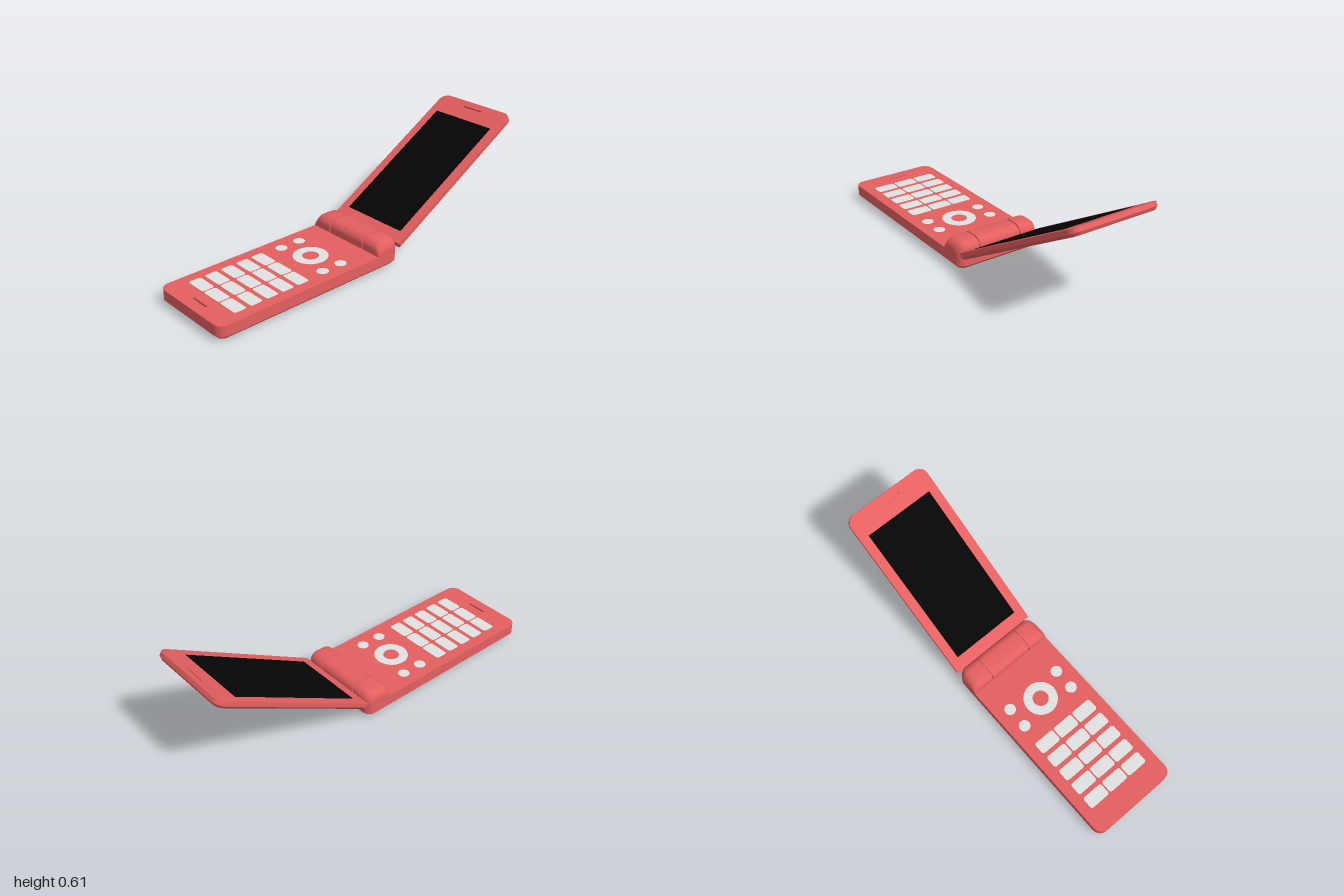
import * as THREE from 'three';
import { toCreasedNormals } from 'three/addons/utils/BufferGeometryUtils.js';

const HALF = 0.25;
const mat = (name, color) => Object.assign(new THREE.MeshStandardMaterial({ color }), { name });

// Closed skin through rings of equal point count, with flat end caps
function loft(rings) {
  const pos = [], n = rings[0].length;
  const tri = (...pts) => pts.forEach((p) => pos.push(p.x, p.y, p.z));
  const centre = (r) => r.reduce((c, p) => c.add(p), new THREE.Vector3()).divideScalar(n);
  const first = rings[0], last = rings[rings.length - 1];
  const c0 = centre(first), c1 = centre(last);
  for (let i = 0; i < n; i++) {
    const j = (i + 1) % n;
    for (let k = 0; k < rings.length - 1; k++) {
      const a = rings[k], b = rings[k + 1];
      tri(a[i], a[j], b[j]);
      tri(a[i], b[j], b[i]);
    }
    tri(c0, first[j], first[i]);
    tri(c1, last[i], last[j]);
  }
  const geo = new THREE.BufferGeometry();
  geo.setAttribute('position', new THREE.Float32BufferAttribute(pos, 3));
  return toCreasedNormals(geo, 0.5);
}

// Rounded rectangle, counter-clockwise, with its own radius at each end
function outline(x0, x1, s0, s1, r0, r1 = r0) {
  const pts = [];
  const corners = [[x1 - r0, s0 + r0, r0], [x1 - r1, s1 - r1, r1], [x0 + r1, s1 - r1, r1], [x0 + r0, s0 + r0, r0]];
  corners.forEach(([x, y, r], c) => {
    for (let i = 0; i <= 8; i++) {
      const a = (c - 1 + i / 8) * Math.PI / 2;
      pts.push(new THREE.Vector2(x + r * Math.cos(a), y + r * Math.sin(a)));
    }
  });
  return pts;
}

// Extrude a plan shape, then lay it down so that its top is at y
function plate(shape, depth, top) {
  const geo = new THREE.ExtrudeGeometry(shape, { depth, bevelEnabled: false, curveSegments: 32 });
  geo.rotateX(-Math.PI / 2).translate(0, top - depth, 0);
  return toCreasedNormals(geo, 0.5);
}

function add(parent, name, geo, material) {
  const mesh = new THREE.Mesh(geo, material);
  mesh.name = name;
  parent.add(mesh);
  return mesh;
}

// Shell with a chamfered underside and a slot sunk in its top at y = 0
function shell(parent, name, material, { s0, s1, r0, r1, t, chamfer, endInset, slot }) {
  const skin = 0.012;
  const ring = (y, inset) => outline(-HALF + inset, HALF - inset, s0 + Math.min(inset, endInset), s1 - inset,
    Math.max(r0 - inset, 0.002), Math.max(r1 - inset, 0.002)).map((p) => new THREE.Vector3(p.x, y, -p.y));
  add(parent, name + 'Underside', loft([ring(-t, chamfer), ring(-t + chamfer, 0), ring(-skin, 0)]), material);
  const face = new THREE.Shape(outline(-HALF, HALF, s0, s1, r0, r1));
  face.holes.push(new THREE.Path(outline(-slot.w, slot.w, slot.s - 0.006, slot.s + 0.006, 0.0055).reverse()));
  add(parent, name + 'Face', plate(face, skin, 0), material);
}

// Hinge cross-section at x; drop lowers the top and pulls in the back
function hingeRing(x, drop) {
  const top = 0.16 - drop, front = 0.015, back = -0.13 + drop;
  const r = Math.min(0.045, top - 0.088), pts = [[back, 0.08], [back, top - r]];
  for (let i = 1; i <= 8; i++) {
    const a = i / 8 * Math.PI / 2;
    pts.push([back + r - r * Math.cos(a), top - r + r * Math.sin(a)]);
  }
  for (let i = 0; i <= 8; i++) {
    const a = i / 8 * Math.PI / 2;
    pts.push([front - r + r * Math.sin(a), top - r + r * Math.cos(a)]);
  }
  pts.push([front, 0.08]);
  return pts.map(([z, y]) => new THREE.Vector3(x, y, z));
}

export function createModel() {
  const model = new THREE.Group();
  model.name = 'flipPhone';
  const red = mat('red shell', 0xe55f5f);
  const grey = mat('light grey', 0xe0e3e1);
  const black = mat('black glass', 0x050505);

  // Keypad half
  const base = new THREE.Group();
  base.name = 'base';
  base.position.y = 0.089;
  model.add(base);
  shell(base, 'base', red, {
    s0: -1, s1: 0.13, r0: 0.05, r1: 0.05, t: 0.077, chamfer: 0.018, endInset: 1, slot: { w: 0.058, s: -0.937 },
  });

  // Number keys
  for (let row = 0; row < 5; row++) {
    for (let col = -1; col <= 1; col++) {
      const x = col * 0.13, s = -0.461 - row * 0.0942;
      const key = new THREE.Shape(outline(x - 0.061, x + 0.061, s - 0.035, s + 0.035, 0.013));
      add(base, 'numberKey', plate(key, 0.003, 0.001), grey);
    }
  }

  // Round soft keys and navigation ring
  for (const x of [-0.164, 0.164]) {
    for (const s of [-0.199, -0.317]) {
      add(base, 'softKey', plate(new THREE.Shape().absarc(x, s, 0.031, 0, Math.PI * 2), 0.003, 0.001), grey);
    }
  }
  const ring = new THREE.Shape().absarc(0, -0.258, 0.092, 0, Math.PI * 2);
  ring.holes.push(new THREE.Path().absarc(0, -0.258, 0.043, 0, Math.PI * 2, true));
  add(base, 'navigationRing', plate(ring, 0.003, 0.001), grey);

  // Hinge: two rounded ends, a middle barrel and a slimmer core in the gaps
  const hinge = new THREE.Group();
  hinge.name = 'hinge';
  model.add(hinge);
  const steps = Array.from({ length: 9 }, (_, i) => i / 8 * Math.PI / 2);
  const curve = steps.map((a) => [HALF - 0.05 + 0.05 * Math.sin(a), 0.05 * (1 - Math.cos(a))]);
  const profile = [[0.13, 0], ...curve];
  add(hinge, 'leftHingeEnd', loft(profile.map(([x, d]) => hingeRing(x, d))), red);
  add(hinge, 'rightHingeEnd', loft(profile.map(([x, d]) => hingeRing(-x, d)).reverse()), red);
  add(hinge, 'hingeBarrel', loft([hingeRing(-0.123, 0), hingeRing(0.123, 0)]), red);
  const core = add(hinge, 'hingeCore', new THREE.CylinderGeometry(0.033, 0.033, 0.28, 32).rotateZ(Math.PI / 2), red);
  core.scale.z = 2;
  core.position.set(0, 0.122, -0.0575);
  const back = add(hinge, 'hingeBackPlate', new THREE.BoxGeometry(0.26, 0.045, 0.004), red);
  back.position.set(0, 0.073, -0.13);

  // Camera under the hinge
  const rim = add(model, 'cameraRim', new THREE.CylinderGeometry(0.036, 0.03, 0.013, 32), red);
  rim.position.set(0.143, 0.0075, -0.002);
  const lens = add(model, 'cameraLens', new THREE.CylinderGeometry(0.022, 0.022, 0.004, 32), black);
  lens.position.set(0.143, 0.002, -0.002);

  // Screen half, opened back
  const lid = new THREE.Group();
  lid.name = 'lid';
  lid.position.set(0, 0.116, -0.13);
  lid.rotation.x = Math.PI / 6;
  model.add(lid);
  shell(lid, 'lid', red, {
    s0: 0, s1: 0.992, r0: 0.003, r1: 0.05, t: 0.038, chamfer: 0.015, endInset: 0, slot: { w: 0.064, s: 0.948 },
  });
  const screen = add(lid, 'screen', new THREE.BoxGeometry(0.398, 0.003, 0.793), black);
  screen.position.set(0, 0, -0.4655);
  const strip = add(lid, 'outerDisplay', new THREE.BoxGeometry(0.065, 0.003, 0.48), grey);
  strip.position.set(0, -0.038, -0.51);
  return model;
}
